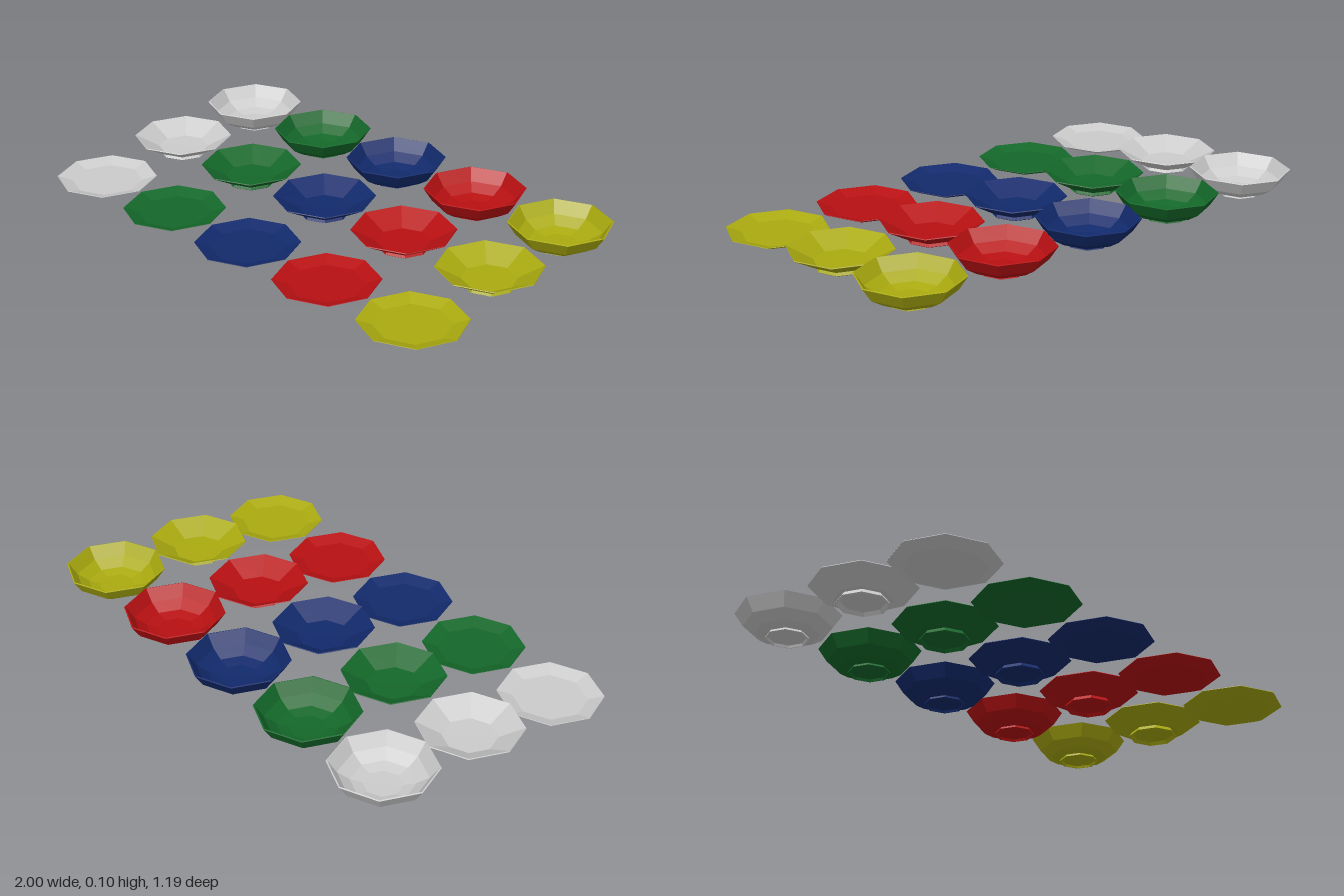
import * as THREE from 'three';

const SIDES = 8;
const STEP_X = 0.4025, STEP_Z = 0.4;

// Closed cross-sections [radius, height]: underside from the axis out to the rim, then the inside back to the axis
const PROFILES = {
  plate: [
    [0, 0], [0.145, 0], [0.195, 0.022], [0.194, 0.024], [0.137, 0.006], [0, 0.006],
  ],
  soupPlate: [
    [0, 0.013], [0.08, 0.013], [0.09, 0], [0.097, 0.004], [0.088, 0.019], [0.105, 0.02],
    [0.195, 0.071], [0.193, 0.074], [0.1, 0.026], [0, 0.024],
  ],
  bowl: [
    [0, 0.009], [0.07, 0.009], [0.074, 0], [0.081, 0.002], [0.077, 0.011], [0.118, 0.022],
    [0.162, 0.05], [0.195, 0.1], [0.19, 0.102], [0.157, 0.055], [0.113, 0.028], [0.07, 0.017], [0, 0.016],
  ],
};

const COLORS = { white: 0xcccccc, green: 0x14682a, blue: 0x122a6c, red: 0xb81012, yellow: 0xaaaa10 };

// Faceted eight-sided dish turned from its cross-section
function dishGeometry(profile) {
  return new THREE.LatheGeometry(profile.map(([r, y]) => new THREE.Vector2(r, y)), SIDES);
}

export function createModel() {
  const group = new THREE.Group();
  group.name = 'dishSet';
  const rows = [['bowl', -STEP_Z], ['soupPlate', 0], ['plate', STEP_Z]];
  const geometries = {};
  for (const kind in PROFILES) geometries[kind] = dishGeometry(PROFILES[kind]);

  // One column per colour, one row per kind of dish
  Object.entries(COLORS).forEach(([colorName, color], column) => {
    const material = new THREE.MeshStandardMaterial({ color, flatShading: true });
    for (const [kind, z] of rows) {
      const dish = new THREE.Mesh(geometries[kind], material);
      dish.name = `${colorName} ${kind}`;
      dish.position.set((column - 2) * STEP_X, 0, z);
      group.add(dish);
    }
  });
  return group;
}
